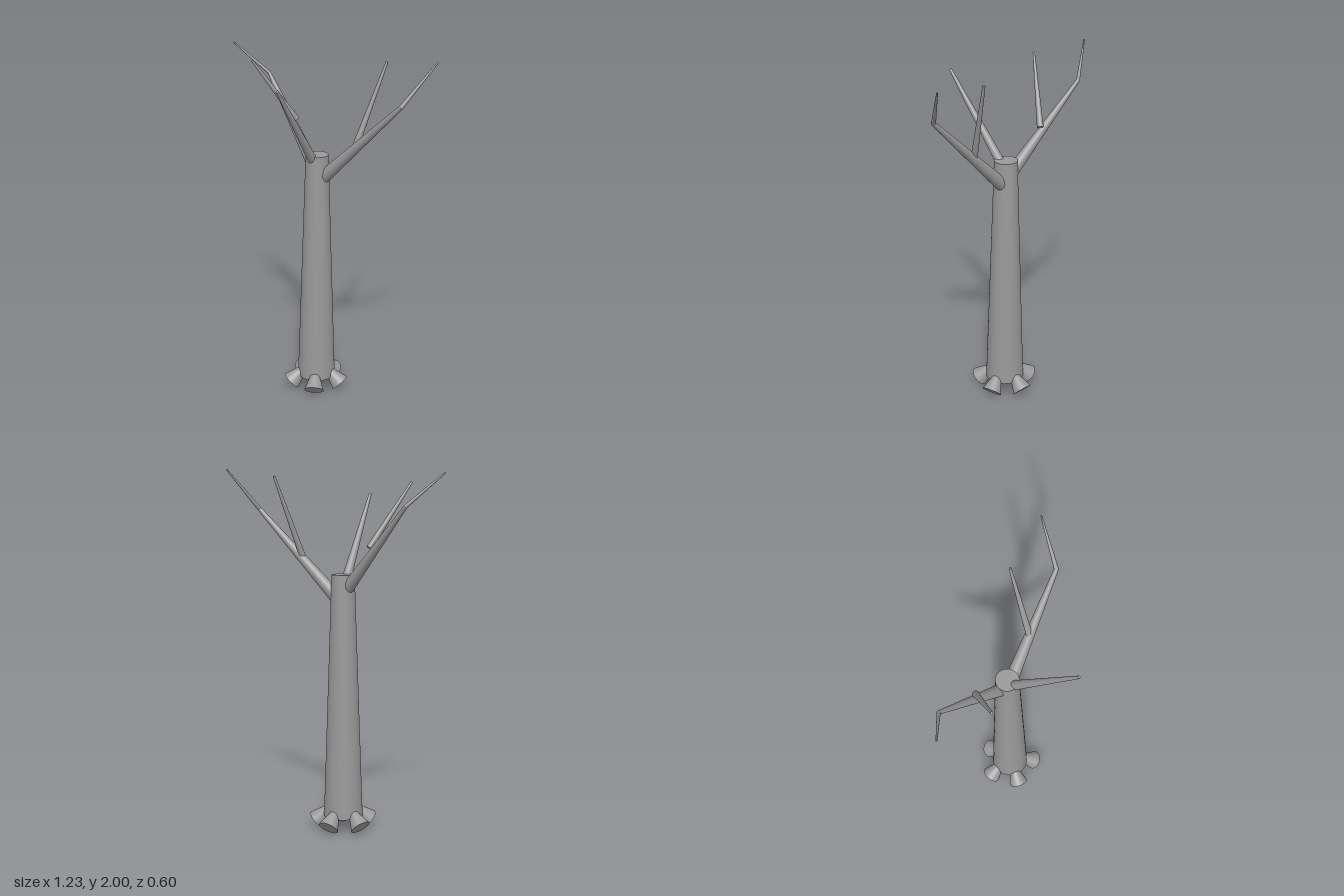
import * as THREE from 'three';

export function createModel() {
  const group = new THREE.Group();
  group.name = 'bareTree';
  const bark = new THREE.MeshStandardMaterial({ color: 0x999999 });
  bark.name = 'greyBark';
  const UP = new THREE.Vector3(0, 1, 0);
  const CX = -0.015, CZ = -0.085;

  // Tapered round limb between two points
  function limb(name, from, to, r0, r1, sides = 24) {
    const a = new THREE.Vector3(...from), b = new THREE.Vector3(...to);
    const dir = b.clone().sub(a);
    const mesh = new THREE.Mesh(new THREE.CylinderGeometry(r1, r0, dir.length(), sides), bark);
    mesh.position.copy(a).add(b).multiplyScalar(0.5);
    mesh.quaternion.setFromUnitVectors(UP, dir.normalize());
    mesh.name = name;
    group.add(mesh);
  }

  // Small rounded elbow where a branch bends
  function elbow(name, at, r) {
    const mesh = new THREE.Mesh(new THREE.SphereGeometry(r, 16, 10), bark);
    mesh.position.set(...at);
    mesh.name = name;
    group.add(mesh);
  }

  // Trunk
  limb('trunk', [CX, 0.083, CZ], [CX, 1.433, CZ], 0.108, 0.063, 48);

  // Left branch, its bent tip and side twig
  const leftBend = [0.508, 1.778, -0.135];
  limb('leftBranch', [0, 1.285, -0.092], leftBend, 0.038, 0.012);
  elbow('leftElbow', leftBend, 0.012);
  limb('leftTip', leftBend, [0.61, 1.998, -0.298], 0.012, 0.004);
  limb('leftTwig', [0.232, 1.525, -0.115], [0.303, 1.96, -0.275], 0.018, 0.007);

  // Right branch, its bent tip and side twig
  const rightBend = [-0.455, 1.805, -0.175];
  limb('rightBranch', [-0.02, 1.325, -0.09], rightBend, 0.036, 0.01);
  elbow('rightElbow', rightBend, 0.01);
  limb('rightTip', rightBend, [-0.617, 1.975, -0.057], 0.01, 0.004);
  limb('rightTwig', [-0.215, 1.585, -0.138], [-0.353, 1.928, 0.065], 0.018, 0.006);

  // Front branch
  limb('frontBranch', [-0.015, 1.39, -0.06], [0.047, 1.862, 0.292], 0.027, 0.008);

  // Five flared roots, tilted outward and down
  for (let i = 0; i < 5; i++) {
    const a = -Math.PI / 2 + i * Math.PI * 2 / 5;
    const at = (r, y) => [CX + Math.cos(a) * r, y, CZ + Math.sin(a) * r];
    limb('root' + (i + 1), at(0.15, 0.045), at(0.065, 0.13), 0.056, 0.016);
  }
  return group;
}
